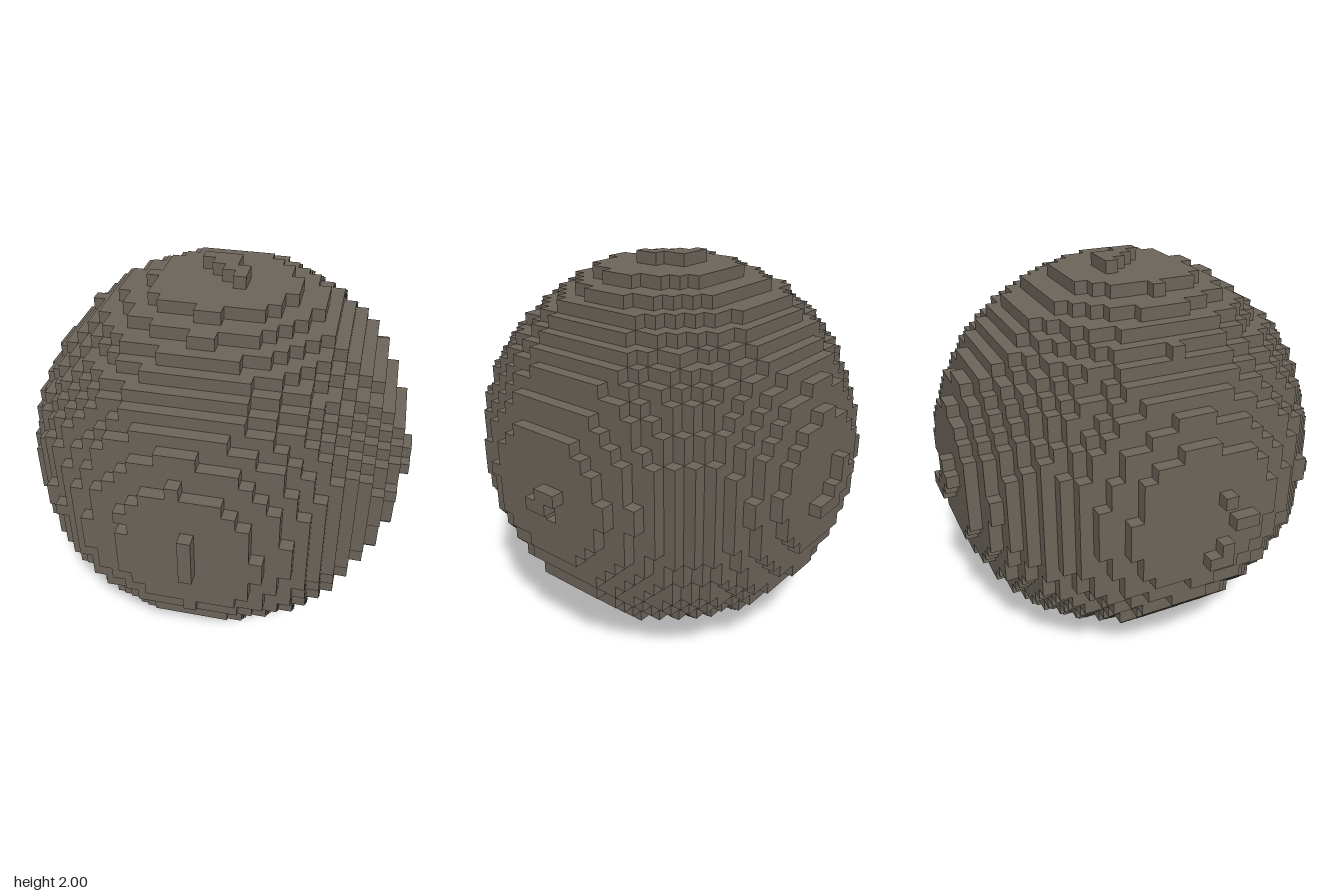
import * as THREE from 'three';

const CELL = 1 / 16; // 32 cells across two units
const HALF = 16;

// Outermost layer of each side, listed as [first, second] cell coordinates
const caps = {
  front: [[0, -2], [0, -1], [0, 0], [0, 1]], // x, y
  back: [[1, -2], [0, -2], [-1, -2], [-1, -1], [-2, -1], [-2, 0], [-3, 0], [-2, 1]], // x, y
  left: [[0, -2], [0, -1], [-1, 0], [-1, -1]], // y, z
  right: [[1, 1], [-1, 3], [-1, 2], [-3, 1], [-4, 0], [-4, 1]], // y, z
  top: [[-2, -2], [-1, -2], [0, -2], [-1, -1], [0, -1], [0, 0], [1, 0], [1, 1]], // x, z
  bottom: [],
};
for (let x = -3; x <= 0; x++) {
  for (let z = -3; z <= 2; z++) {
    if (Math.abs(x + 1) + Math.abs(z + 0.5) < 3.6) caps.bottom.push([x, z]);
  }
}

// Sphere with a gently uneven radius
function inBody(i, j, k) {
  const x = i + 0.5, y = j + 0.5, z = k + 0.5;
  if (Math.max(Math.abs(x), Math.abs(y), Math.abs(z)) > 15) return false;
  const bump = Math.sin(x * 0.45 + y * 0.3 + 1) + Math.sin(y * 0.5 - z * 0.35 + 2) + Math.sin(z * 0.42 + x * 0.27);
  return Math.hypot(x, y, z) < 15.52 + 0.05 * bump - 0.004 * x;
}

function buildCells() {
  const cells = new Set();
  const key = (i, j, k) => `${i},${j},${k}`;
  for (let i = -HALF; i < HALF; i++) {
    for (let j = -HALF; j < HALF; j++) {
      for (let k = -HALF; k < HALF; k++) if (inBody(i, j, k)) cells.add(key(i, j, k));
    }
  }
  // Small pits in the front and the left side
  cells.delete(key(-5, 1, 14));
  cells.delete(key(14, -2, -1));
  caps.front.forEach(([x, y]) => cells.add(key(x, y, 15)));
  caps.back.forEach(([x, y]) => cells.add(key(x, y, -16)));
  caps.left.forEach(([y, z]) => cells.add(key(15, y, z)));
  caps.right.forEach(([y, z]) => cells.add(key(-16, y, z)));
  caps.top.forEach(([x, z]) => cells.add(key(x, 15, z)));
  caps.bottom.forEach(([x, z]) => cells.add(key(x, -16, z)));
  return cells;
}

// One square for every cell side that has no neighbour
function cellGeometry(cells) {
  const positions = [], normals = [], index = [];
  for (const name of cells) {
    const cell = name.split(',').map(Number);
    for (let axis = 0; axis < 3; axis++) {
      for (const sign of [-1, 1]) {
        const next = [...cell];
        next[axis] += sign;
        if (cells.has(next.join(','))) continue;
        const u = (axis + 1) % 3, v = (axis + 2) % 3;
        const normal = [0, 0, 0];
        normal[axis] = sign;
        const base = positions.length / 3;
        for (const [a, b] of [[0, 0], [1, 0], [1, 1], [0, 1]]) {
          const p = [...cell];
          p[axis] += sign > 0 ? 1 : 0;
          p[u] += a;
          p[v] += b;
          positions.push(p[0] * CELL, p[1] * CELL + 1, p[2] * CELL);
          normals.push(...normal);
        }
        const order = sign > 0 ? [0, 1, 2, 0, 2, 3] : [0, 2, 1, 0, 3, 2];
        index.push(...order.map((n) => base + n));
      }
    }
  }
  const geometry = new THREE.BufferGeometry();
  geometry.setAttribute('position', new THREE.Float32BufferAttribute(positions, 3));
  geometry.setAttribute('normal', new THREE.Float32BufferAttribute(normals, 3));
  geometry.setIndex(index);
  return geometry;
}

export function createModel() {
  const group = new THREE.Group();
  group.name = 'blockBoulder';
  const stone = new THREE.MeshStandardMaterial({ color: 0x6b645a });
  stone.name = 'stone';
  const boulder = new THREE.Mesh(cellGeometry(buildCells()), stone);
  boulder.name = 'boulder';
  group.add(boulder);
  return group;
}
